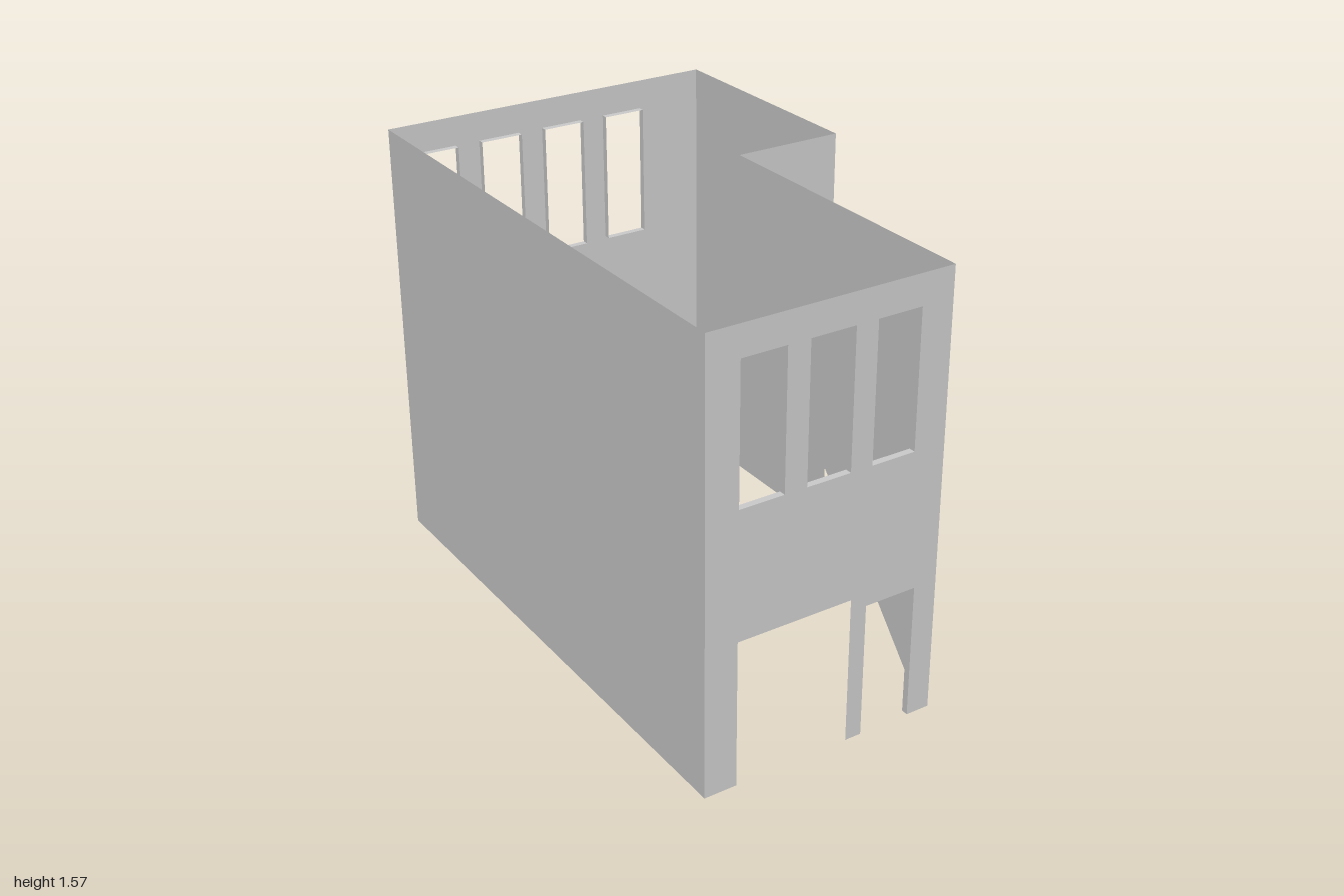
import * as THREE from 'three';

const H = 1.567;      // wall height
const X = 0.637;      // half width
const PARTY = 0.236;  // x of the stair-side wall
const MID = -0.118;   // z of the recessed wall
const REVEAL = 0.024; // depth of the window and door linings

const material = new THREE.MeshStandardMaterial({ color: 0xcccccc, side: THREE.DoubleSide });

const points = (list) => list.map(([x, y]) => new THREE.Vector2(x, y));
const rect = (x0, x1, y0, y1) => [[x0, y0], [x0, y1], [x1, y1], [x1, y0]];

function add(group, name, geometry) {
  const mesh = new THREE.Mesh(geometry, material);
  mesh.name = name;
  group.add(mesh);
  return mesh;
}

// Thin sheet with holes, drawn in x/y
function sheet(outline, holes = []) {
  const shape = new THREE.Shape(points(outline));
  for (const hole of holes) shape.holes.push(new THREE.Path(points(hole)));
  return new THREE.ShapeGeometry(shape);
}

// Lining of an opening: a strip along its edge, running from z = 0 to z = depth
function lining(edge, depth, closed) {
  const pos = [];
  const count = closed ? edge.length : edge.length - 1;
  for (let i = 0; i < count; i++) {
    const [ax, ay] = edge[i];
    const [bx, by] = edge[(i + 1) % edge.length];
    pos.push(ax, ay, 0, bx, by, 0, bx, by, depth, ax, ay, 0, bx, by, depth, ax, ay, depth);
  }
  const geometry = new THREE.BufferGeometry();
  geometry.setAttribute('position', new THREE.Float32BufferAttribute(pos, 3));
  geometry.computeVertexNormals();
  return geometry;
}

// Wall across x with windows (holes) and doorways (notches in the bottom edge)
function crossWall({ name, x0, x1, y0 = 0, z, depth, windows = [], doors = [] }) {
  const group = new THREE.Group();
  group.name = name;
  group.position.z = z;
  const outline = [[x0, y0]];
  for (const d of doors) outline.push(...rect(d.x0, d.x1, y0, d.top));
  outline.push([x1, y0], [x1, H], [x0, H]);
  add(group, name + 'Sheet', sheet(outline, windows));
  for (const w of windows) add(group, 'windowLining', lining(w, depth, true));
  for (const d of doors) {
    if (!d.plain) add(group, 'doorLining', lining(rect(d.x0, d.x1, y0, d.top), depth, false));
  }
  return group;
}

// Wall along z, its outline given as [z, y]
function sideWall(group, name, x, outline) {
  add(group, name, sheet(outline).rotateY(-Math.PI / 2)).position.x = x;
}

// Row of equal upper-floor windows
const windowRow = (start, step, n) =>
  Array.from({ length: n }, (_, i) => rect(start + i * step, start + i * step + 0.16, 0.98, 1.46));

export function createModel() {
  const model = new THREE.Group();
  model.name = 'houseShell';

  // Front wall: three windows, a wide opening and a door
  model.add(crossWall({
    name: 'frontWall', x0: -X, x1: PARTY, z: 1, depth: -REVEAL,
    windows: windowRow(-0.52, 0.24, 3),
    doors: [
      { x0: -0.52, x1: -0.1, top: 0.527, plain: true },
      { x0: -0.04, x1: 0.15, top: 0.485 },
    ],
  }));

  // Back wall: four windows, a wide window and a door
  model.add(crossWall({
    name: 'backWall', x0: -X, x1: X, z: -1, depth: REVEAL,
    windows: [...windowRow(-0.545, 0.256, 4), rect(-0.545, 0.095, 0.197, 0.67)],
    doors: [{ x0: 0.19, x1: 0.383, top: 0.485 }],
  }));

  // Recessed upper wall with the stair-top doorway
  model.add(crossWall({
    name: 'recessedWall', x0: PARTY, x1: X, y0: 0.852, z: MID, depth: -REVEAL,
    doors: [{ x0: 0.325, x1: 0.517, top: 1.253 }],
  }));

  // Side walls; the stair wall is cut away below the slope of the stairs
  sideWall(model, 'rightWall', -X, rect(-1, 1, 0, H));
  sideWall(model, 'leftWall', X, rect(-1, MID, 0, H));
  sideWall(model, 'stairWall', PARTY,
    [[1, 0], [1, H], [MID, H], [MID, 0.852], [0.202, 0.852], [0.936, 0]]);

  return model;
}
